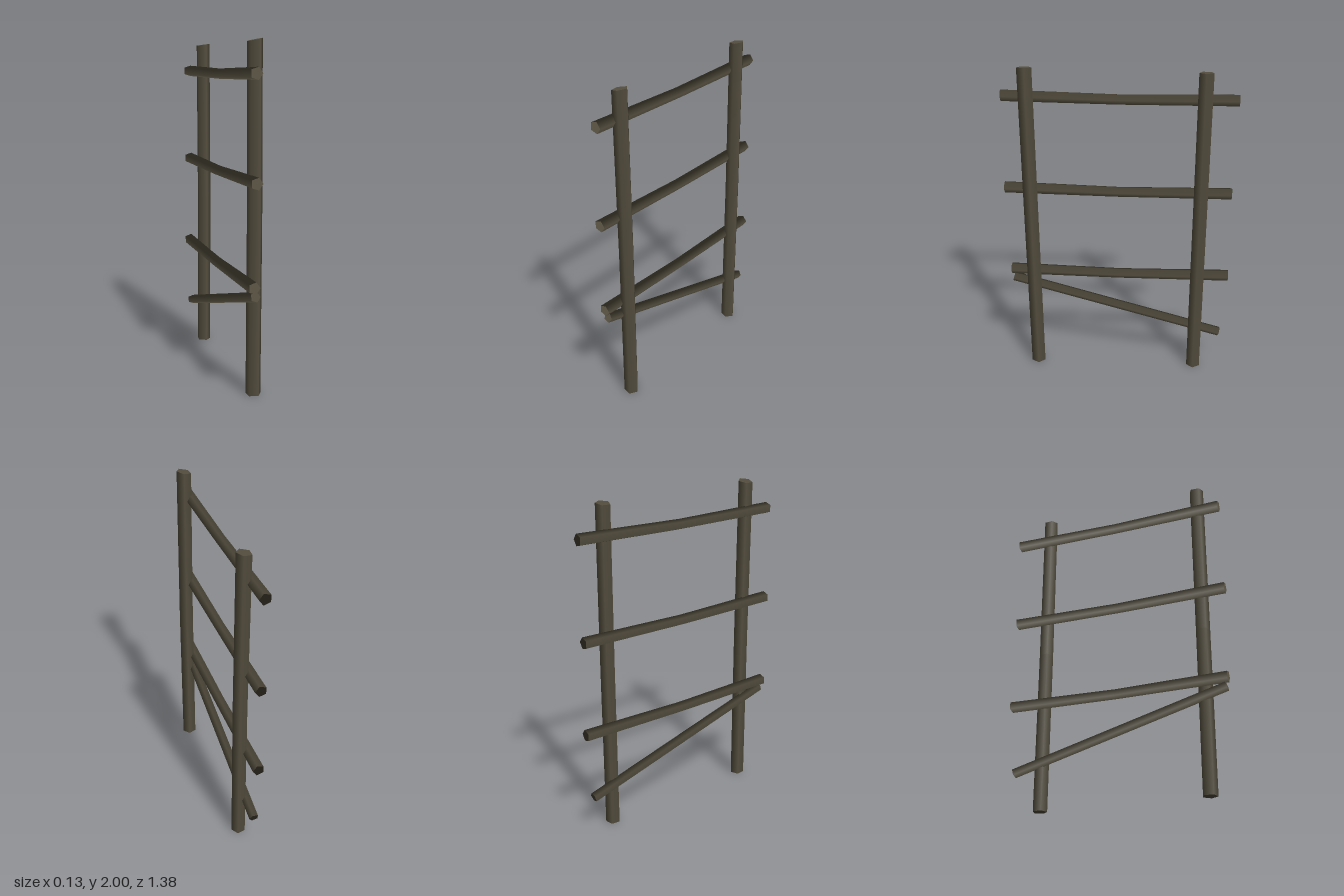
import * as THREE from 'three';

const wood = new THREE.MeshStandardMaterial({ color: 0x544e3e });
wood.name = 'weathered wood';

// Five-sided log between two points, with a bent, slightly thinner middle
function makeLog(name, from, to, radius, { midRadius = radius, bend = [0, 0, 0], spin = 0, topSlope = 0 } = {}) {
  const a = new THREE.Vector3(...from), b = new THREE.Vector3(...to);
  const axis = b.clone().sub(a), length = axis.length();
  const geo = new THREE.CylinderGeometry(radius, radius, length, 5, 2, false, Math.PI / 2 + spin);
  const turn = new THREE.Quaternion().setFromUnitVectors(new THREE.Vector3(0, 1, 0), axis.normalize());
  const centre = a.add(b).multiplyScalar(0.5);
  const offset = new THREE.Vector3(...bend);
  const p = geo.attributes.position, v = new THREE.Vector3();
  for (let i = 0; i < p.count; i++) {
    v.fromBufferAttribute(p, i);
    const middle = Math.abs(v.y) < 0.01;
    if (middle) { v.x *= midRadius / radius; v.z *= midRadius / radius; }
    if (v.y > 0.01) v.y += topSlope * (v.x - radius); // slanted saw cut
    v.applyQuaternion(turn).add(centre);
    if (middle) v.add(offset);
    p.setXYZ(i, v.x, v.y, v.z);
  }
  const mesh = new THREE.Mesh(geo, wood);
  mesh.name = name;
  return mesh;
}

export function createModel() {
  const group = new THREE.Group();
  group.name = 'woodenRack';

  // Upright posts
  group.add(
    makeLog('frontPost', [0.014, 0, 0.53], [0.012, 2, 0.53], 0.045, { bend: [0.004, 0, 0], spin: 0.08, topSlope: 0.2 }),
    makeLog('backPost', [0.014, 0, -0.49], [0.016, 1.985, -0.49], 0.044, { bend: [0.004, 0, 0], spin: -0.08, topSlope: 0.15 })
  );

  // Sagging crossbars: back z, front z, back y, front y, front x
  [
    [-0.685, 0.68, 1.81, 1.815, -0.03],
    [-0.675, 0.69, 1.226, 1.237, -0.028],
    [-0.685, 0.68, 0.66, 0.665, -0.036]
  ].forEach(([zb, zf, yb, yf, x], i) => {
    group.add(makeLog(`crossbar${i + 1}`, [-0.028, yb, zb], [x, yf, zf], 0.036,
      { midRadius: 0.032, bend: [0, -0.01, 0] }));
  });

  // Diagonal brace
  group.add(makeLog('diagonalBrace', [-0.025, 0.237, -0.648], [-0.025, 0.612, 0.667], 0.03));
  return group;
}
